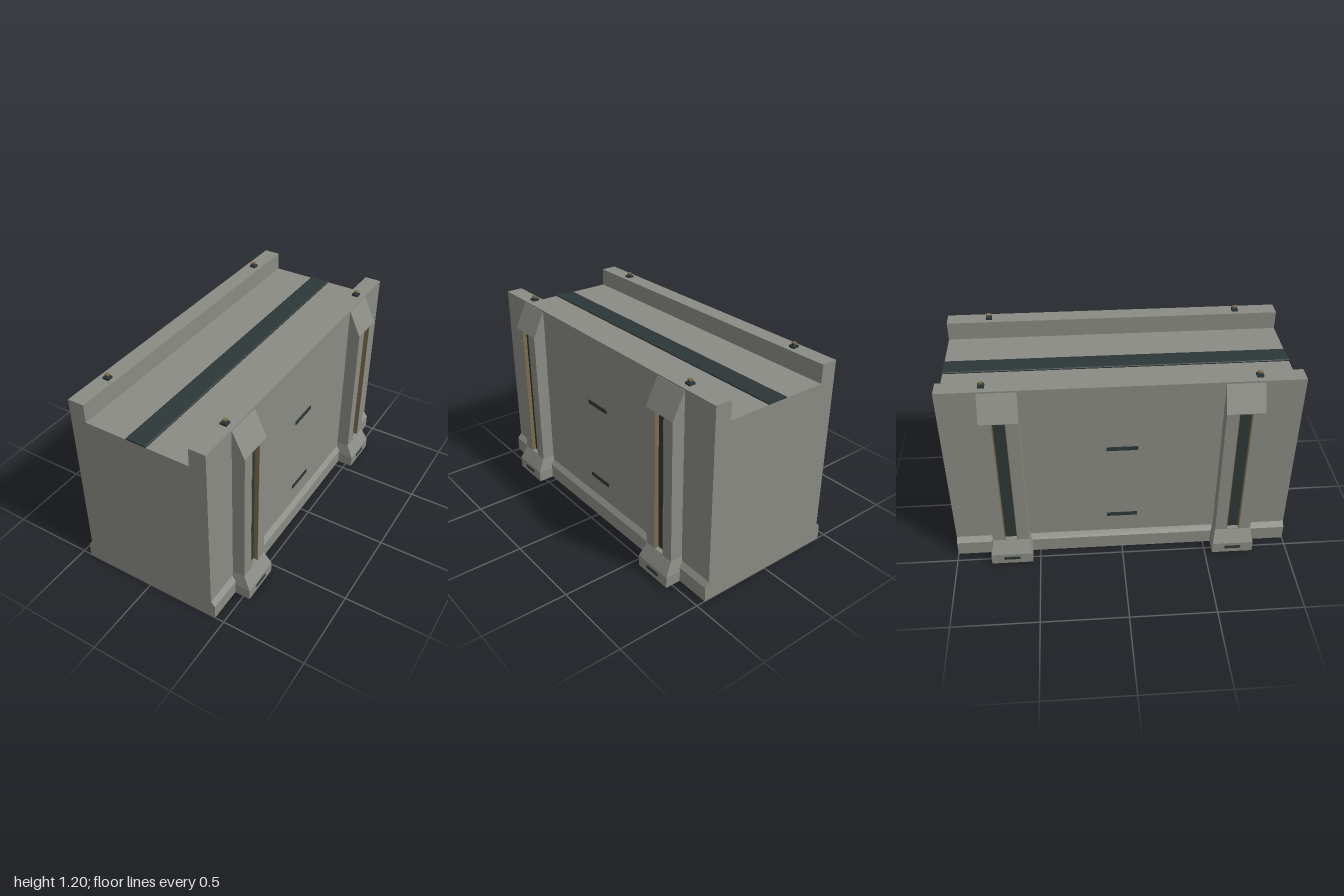
import * as THREE from 'three';

const concrete = new THREE.MeshStandardMaterial({ color: 0x8a8b84, flatShading: true });
concrete.name = 'concrete grey';
const dark = new THREE.MeshStandardMaterial({ color: 0x2d3737, flatShading: true });
dark.name = 'dark slate';
const bronze = new THREE.MeshStandardMaterial({ color: 0x7d6c4e, flatShading: true });
bronze.name = 'bronze';

function add(parent, name, geometry, material) {
  const mesh = new THREE.Mesh(geometry, material);
  mesh.name = name;
  parent.add(mesh);
  return mesh;
}

// Box given by its minimum and maximum corners
function box(parent, name, material, [x0, y0, z0], [x1, y1, z1]) {
  const g = new THREE.BoxGeometry(x1 - x0, y1 - y0, z1 - z0);
  g.translate((x0 + x1) / 2, (y0 + y1) / 2, (z0 + z1) / 2);
  return add(parent, name, g, material);
}

// Profile in x and y, extruded along z about the origin
function prism(points, depth) {
  const shape = new THREE.Shape(points.map(([x, y]) => new THREE.Vector2(x, y)));
  return new THREE.ExtrudeGeometry(shape, { depth, bevelEnabled: false }).translate(0, 0, -depth / 2);
}

// Column on the +x face, centred on local z = 0
function createColumn() {
  const column = new THREE.Group();
  column.name = 'column';

  // Shaft with a tall slot through it
  const half = 0.1075, slot = 0.0375, low = 0.15, high = 1.01;
  const face = new THREE.Shape([[-half, low], [half, low], [half, high], [-half, high]]
    .map(([x, y]) => new THREE.Vector2(x, y)));
  face.holes.push(new THREE.Path([[-slot, low + 0.002], [-slot, high - 0.002], [slot, high - 0.002], [slot, low + 0.002]]
    .map(([x, y]) => new THREE.Vector2(x, y))));
  const shaft = new THREE.ExtrudeGeometry(face, { depth: 0.085, bevelEnabled: false });
  shaft.rotateY(Math.PI / 2).translate(0.411, 0, 0);
  add(column, 'columnShaft', shaft, concrete);

  // Slot back and side linings
  box(column, 'slotPanel', dark, [0.415, low, -slot], [0.47, high, slot]);
  for (const s of [-1, 1]) {
    const lining = box(column, 'slotLining', bronze, [0.45, low, -0.002], [0.4965, high, 0.002]);
    lining.position.z = s * (slot - 0.001);
  }

  // Sloping cap
  add(column, 'columnCap', prism([[0.4, high], [0.496, high], [0.423, 1.16], [0.4, 1.16]], half * 2), concrete);

  // Foot: a block whose upper part tapers to the shaft
  const foot = new THREE.BoxGeometry(0.16, 0.15, 0.246, 1, 2, 1).translate(0.46, 0.075, 0);
  const p = foot.attributes.position;
  for (let i = 0; i < p.count; i++) {
    const y = p.getY(i);
    if (y > 0.1) {
      if (p.getX(i) > 0.46) p.setX(i, 0.496);
      p.setZ(i, Math.sign(p.getZ(i)) * half);
    } else if (y > 0.05) p.setY(i, 0.07);
  }
  foot.computeVertexNormals();
  add(column, 'columnFoot', foot, concrete);
  box(column, 'footVent', dark, [0.537, 0.03, -0.048], [0.543, 0.05, 0.048]);
  return column;
}

// One long side with its columns, vents and top studs
function createSide() {
  const side = new THREE.Group();
  side.name = 'side';
  for (const s of [-1, 1]) {
    const column = createColumn();
    column.position.z = s * 0.6675;
    side.add(column);

    const z = s * 0.75;
    box(side, 'studBase', dark, [0.348, 1.17, z - 0.018], [0.386, 1.183, z + 0.018]);
    box(side, 'studNeck', dark, [0.359, 1.183, z - 0.009], [0.375, 1.19, z + 0.009]);
    box(side, 'studCap', bronze, [0.357, 1.19, z - 0.011], [0.377, 1.2, z + 0.011]);
  }
  for (const y of [0.25, 0.75]) {
    box(side, 'sideVent', dark, [0.417, y - 0.012, -0.09], [0.425, y + 0.012, 0.09]);
  }
  return side;
}

export function createModel() {
  const model = new THREE.Group();
  model.name = 'barrierBlock';

  // Body with a flared plinth and a raised rim along both long edges
  const right = [[0.445, 0], [0.445, 0.09], [0.42, 0.12], [0.42, 1.17], [0.32, 1.17], [0.32, 1.06]];
  const left = right.map(([x, y]) => [-x, y]).reverse();
  add(model, 'body', prism([...right, ...left], 2), concrete);

  // Dark strip along the top
  add(model, 'topStrip', prism([[-0.063, 1.06], [0.063, 1.06], [0.063, 1.066], [0.058, 1.069], [-0.058, 1.069], [-0.063, 1.066]], 2), dark);

  // The layout is the same when turned half round
  for (const turn of [0, Math.PI]) {
    const side = createSide();
    side.rotation.y = turn;
    model.add(side);
  }
  return model;
}
